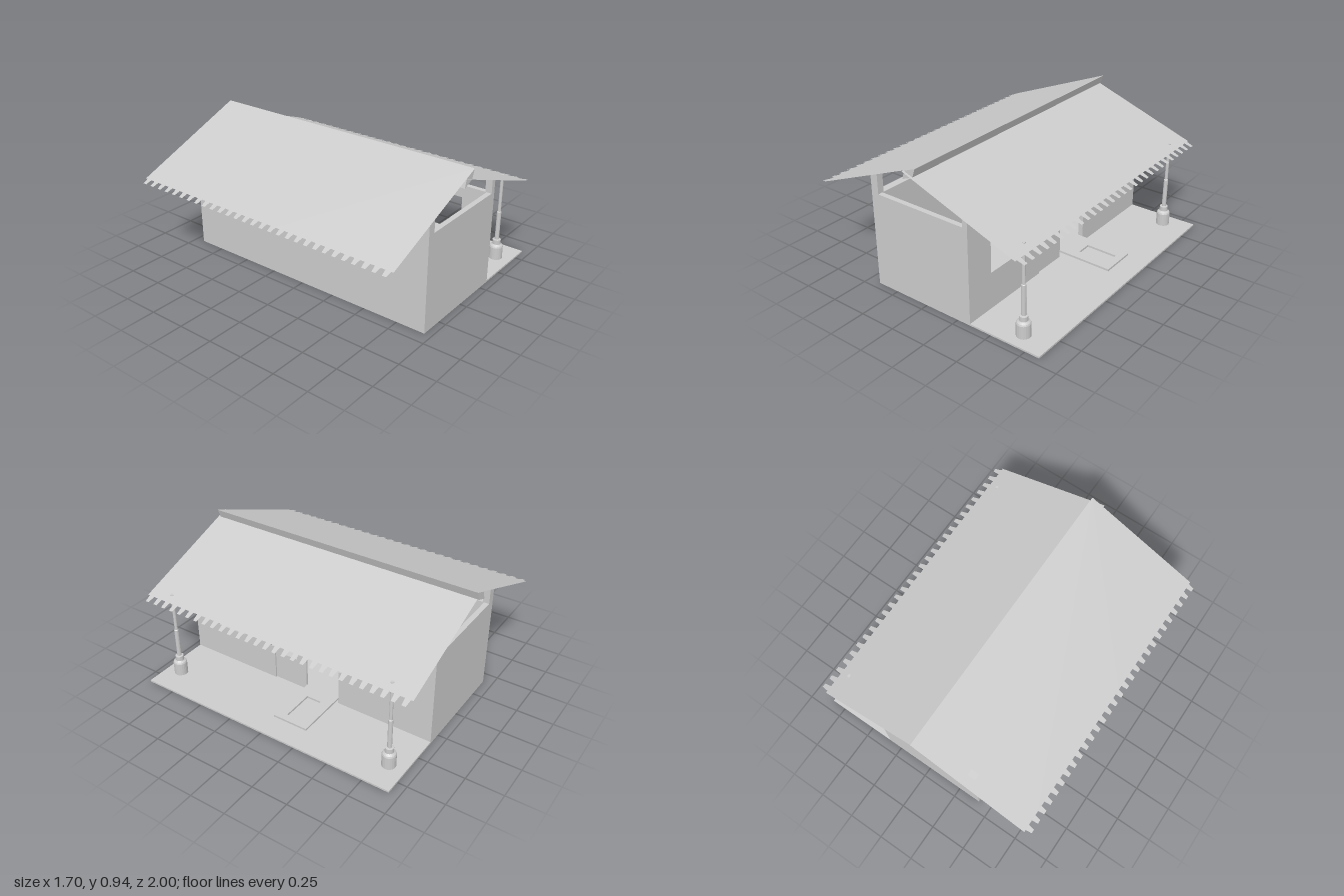
import * as THREE from 'three';

const grey = new THREE.MeshStandardMaterial({ color: 0xcccccc, flatShading: true });
const thin = new THREE.MeshStandardMaterial({ color: 0xcccccc, flatShading: true, side: THREE.DoubleSide });
const smooth = new THREE.MeshStandardMaterial({ color: 0xcccccc });

const points = (list) => list.map(([x, y]) => new THREE.Vector2(x, y));
const rect = (x0, x1, y0, y1) => points([[x0, y0], [x1, y0], [x1, y1], [x0, y1]]);

export function createModel() {
  const house = new THREE.Group();
  house.name = 'house';

  const add = (name, geometry, material = grey) => {
    const mesh = new THREE.Mesh(geometry, material);
    mesh.name = name;
    house.add(mesh);
    return mesh;
  };

  // Box given by its limits on each axis
  const block = (name, x0, x1, y0, y1, z0, z1) =>
    add(name, new THREE.BoxGeometry(x1 - x0, y1 - y0, z1 - z0))
      .position.set((x0 + x1) / 2, (y0 + y1) / 2, (z0 + z1) / 2);

  // Upright panel drawn in (z, y), its thickness running towards -x
  const panelGeometry = (outline, holes, depth) => {
    const shape = new THREE.Shape(outline);
    holes.forEach((h) => shape.holes.push(new THREE.Path(h)));
    return new THREE.ExtrudeGeometry(shape, { depth, bevelEnabled: false }).rotateY(-Math.PI / 2);
  };

  const back = -0.935, front = 0.95, left = 0.345, right = -0.41;
  const floorY = 0.012, wallTop = 0.655;

  // Ground slab under the rooms and the porch
  block('floorSlab', right, 0.85, 0, floorY, back, front);

  // Plain walls, hollow inside
  block('rearLongWall', right, right + 0.055, floorY, wallTop, back, front);
  block('frontEndWall', right + 0.055, 0.31, floorY, wallTop, front - 0.035, front);
  block('backEndWall', right + 0.055, 0.31, floorY, wallTop, back, back + 0.035);

  // Porch wall with stepped doorway and window opening
  const porchWall = points([
    [back, floorY], [-0.25, floorY], [-0.25, 0.265], [-0.28, 0.265], [-0.28, 0.5],
    [0.29, 0.5], [0.29, 0.265], [0.26, 0.265], [0.26, floorY],
    [front, floorY], [front, wallTop], [back, wallTop],
  ]);
  add('porchWall', panelGeometry(porchWall, [rect(0.52, 0.745, 0.265, 0.57)], 0.035)).position.x = left;

  // Corner posts that carry the roof
  for (const z of [back, front - 0.045]) {
    for (const [x0, x1, yOut, yIn] of [[right, right + 0.055, 0.778, 0.8], [0.31, left, 0.748, 0.76]]) {
      const outline = points([[x0, wallTop], [x1, wallTop],
        [x1, x0 < 0 ? yIn : yOut], [x0, x0 < 0 ? yOut : yIn]]);
      add('cornerPost', new THREE.ExtrudeGeometry(new THREE.Shape(outline),
        { depth: 0.045, bevelEnabled: false })).position.z = z;
    }
  }

  // Standing door, and its twin lying on the porch
  const door = panelGeometry(rect(0, 0.25, 0, 0.48), [rect(0.075, 0.18, 0.21, 0.43)], 0.014);
  add('standingDoor', door).position.set(0.335, floorY, 0.01);
  const fallen = add('fallenDoor', door);
  fallen.rotation.z = -Math.PI / 2 - 0.012;
  fallen.position.set(0.23, 0.042, -0.25);

  // Porch columns: heavy round foot, collar and thin stepped shaft
  const column = new THREE.LatheGeometry(points([
    [0, 0.012], [0.046, 0.012], [0.046, 0.1], [0.042, 0.11], [0.03, 0.118], [0.028, 0.12],
    [0.028, 0.152], [0.015, 0.155], [0.015, 0.36], [0.011, 0.365], [0.011, 0.637], [0, 0.637],
  ]), 20).toNonIndexed();
  column.computeVertexNormals();
  for (const z of [0.842, -0.822]) add('porchColumn', column, grey).position.set(0.66, 0, z);

  // Thin roof sheet from ridge to eave, with a row of tapered tabs along the eave
  const roofSheet = (name, ridge, eave, tip, z0, z1, count) => {
    const outline = [[z0, 0], [z0, 1]];
    const pitch = (z1 - z0) / count;
    for (let i = 0; i < count; i++) {
      const c = z0 + (i + 0.5) * pitch;
      outline.push([c - 0.019, 1], [c - 0.013, 2], [c + 0.013, 2], [c + 0.019, 1]);
    }
    outline.push([z1, 1], [z1, 0]);
    const geometry = new THREE.ShapeGeometry(new THREE.Shape(points(outline)));
    const p = geometry.attributes.position;
    const slope = (tip[1] - ridge[1]) / (tip[0] - ridge[0]);
    for (let i = 0; i < p.count; i++) {
      const z = p.getX(i), row = Math.round(p.getY(i));
      const x = [ridge[0], eave, tip[0]][row];
      p.setXYZ(i, x, ridge[1] + slope * (x - ridge[0]), z);
    }
    geometry.computeVertexNormals();
    add(name, geometry, thin);
  };
  roofSheet('rearRoof', [0, 0.942], -0.81, [-0.85, 0.602], -1, 0.985, 29);
  roofSheet('porchRoof', [-0.09, 0.906], 0.72, [0.768, 0.595], -0.99, 1, 29);

  // Ridge beam closing the gap between the two roof sheets
  const ridge = new THREE.Shape(points([[-0.102, 0.848], [-0.022, 0.88], [0, 0.94], [-0.085, 0.906]]));
  add('ridgeBeam', new THREE.ExtrudeGeometry(ridge, { depth: 1.985, bevelEnabled: false })).position.z = -1;

  return house;
}
